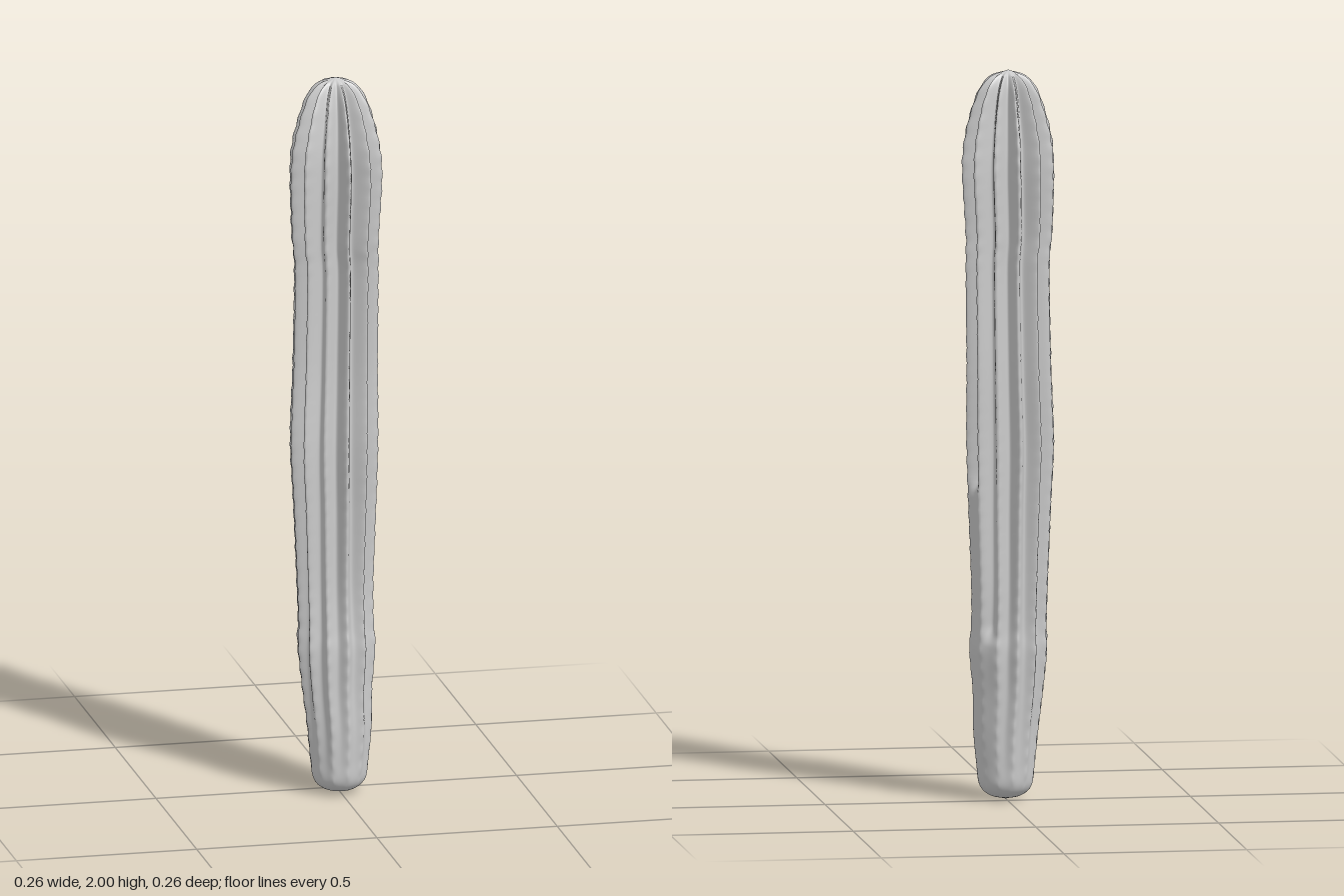
import * as THREE from 'three';

const RIBS = 12, SEGMENTS = 168, ROWS = 240, PHASE = -0.09;

// stations up the stem: height, crest radius, centre x, centre z, groove depth
const STATIONS = [
  [0, 0.0005, 0, 0.035, 0], [0.012, 0.045, 0, 0.035, 0], [0.04, 0.072, 0, 0.035, 0.02],
  [0.1, 0.081, 0, 0.034, 0.06], [0.19, 0.09, 0, 0.032, 0.1], [0.3, 0.098, -0.005, 0.027, 0.14],
  [0.41, 0.108, -0.005, 0.022, 0.18], [0.48, 0.105, -0.006, 0.019, 0.2], [0.6, 0.107, -0.007, 0.013, 0.24],
  [0.8, 0.115, -0.007, 0.01, 0.28], [0.98, 0.122, -0.008, 0.008, 0.31], [1.2, 0.118, -0.003, 0, 0.32],
  [1.46, 0.117, 0, 0, 0.33], [1.56, 0.121, -0.004, 0.002, 0.34], [1.72, 0.128, -0.001, 0.001, 0.36],
  [1.81, 0.122, -0.001, 0.001, 0.37], [1.9, 0.099, 0, -0.003, 0.37], [1.955, 0.075, 0, -0.007, 0.35],
  [1.985, 0.045, 0, -0.008, 0.3], [2, 0.0005, 0, -0.008, 0],
];

// grooves that run out part way down, where two ribs join: groove number -> end height
const GROOVE_ENDS = { 11: 0.87, 0: 0.52, 10: 0.46 };

function ribbedStem() {
  const axis = new THREE.CatmullRomCurve3(
    STATIONS.map(([y, , x, z]) => new THREE.Vector3(x, y, z)), false, 'catmullrom', 0.5);
  const section = new THREE.SplineCurve(STATIONS.map(([, r, , , d]) => new THREE.Vector2(r, d)));
  const positions = [], indices = [];

  for (let row = 0; row <= ROWS; row++) {
    const t = row / ROWS;
    const c = axis.getPoint(t), s = section.getPoint(t);
    const radius = Math.max(s.x, 0.0005);
    for (let i = 0; i < SEGMENTS; i++) {
      const turn = i / SEGMENTS;
      const angle = turn * Math.PI * 2 + PHASE;
      const groove = Math.floor(turn * RIBS);
      // 0 on a rib crest, 1 at the bottom of a groove
      const w = Math.sin(Math.PI * (turn * RIBS - groove));
      let depth = Math.max(s.y, 0);
      const end = GROOVE_ENDS[groove];
      if (end) depth *= 0.2 + 0.8 * THREE.MathUtils.smoothstep(c.y, end - 0.03, end + 0.03);
      // small swellings along each crest
      const bump = 0.012 * (1 - w) * (1 - w) * Math.sin(c.y * 130 + Math.round(turn * RIBS) * 2.1);
      const r = radius * (1 - depth * Math.pow(w, 1.35) + bump);
      positions.push(c.x + r * Math.cos(angle), c.y, c.z + r * Math.sin(angle));
    }
  }

  for (let row = 0; row < ROWS; row++) {
    for (let i = 0; i < SEGMENTS; i++) {
      const a = row * SEGMENTS + i, b = row * SEGMENTS + (i + 1) % SEGMENTS;
      indices.push(a, a + SEGMENTS, b, b, a + SEGMENTS, b + SEGMENTS);
    }
  }

  const geometry = new THREE.BufferGeometry();
  geometry.setAttribute('position', new THREE.Float32BufferAttribute(positions, 3));
  geometry.setIndex(indices);
  geometry.computeVertexNormals();
  return geometry;
}

export function createModel() {
  const group = new THREE.Group();
  group.name = 'columnCactus';
  const stem = new THREE.Mesh(ribbedStem(), new THREE.MeshStandardMaterial({ color: 0xcccccc }));
  stem.name = 'ribbedStem';
  group.add(stem);
  return group;
}
